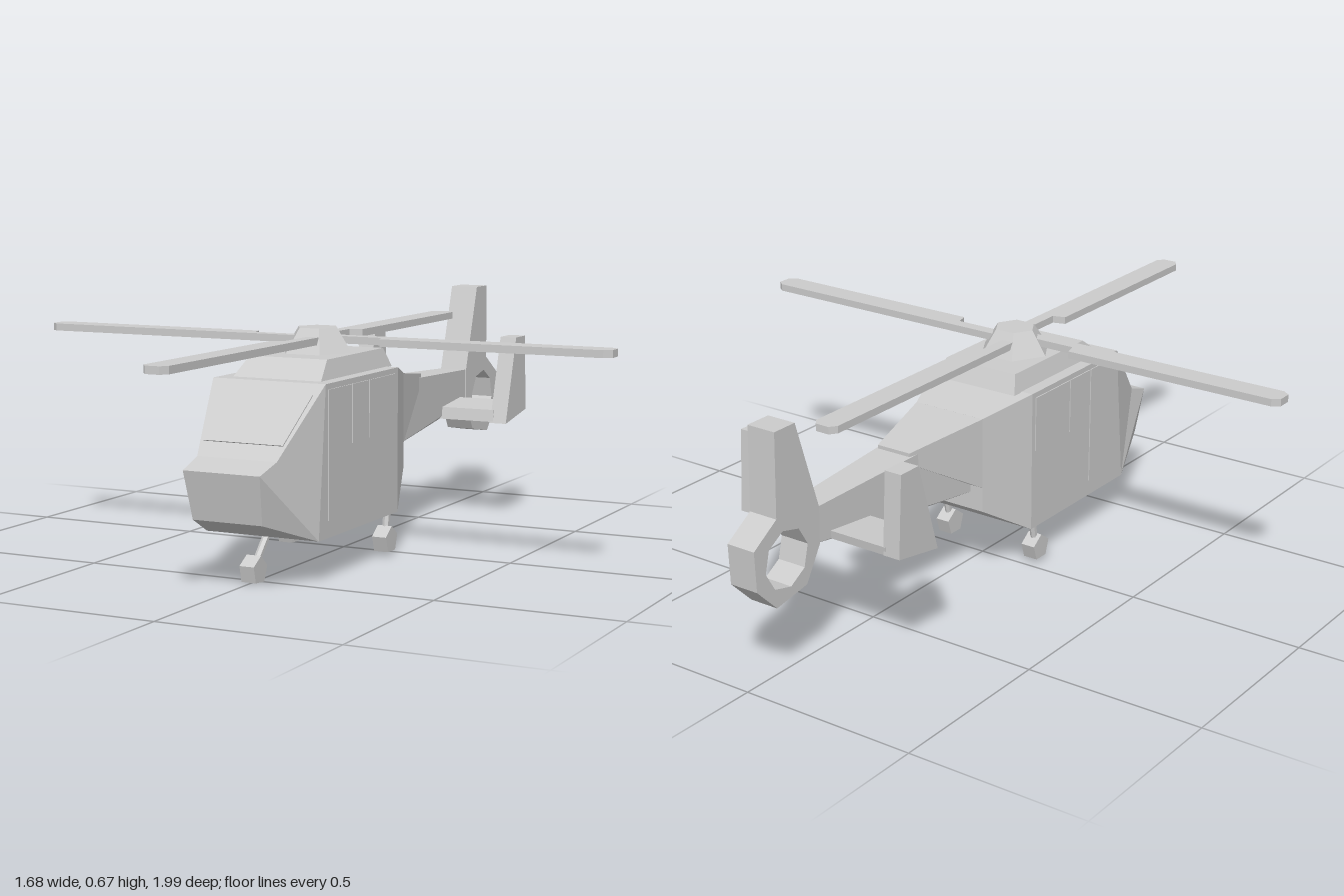
import * as THREE from 'three';
import { ConvexGeometry } from 'three/addons/geometries/ConvexGeometry.js';

export function createModel() {
  const model = new THREE.Group();
  const mat = new THREE.MeshStandardMaterial({ color: 0xcccccc, flatShading: true });

  function add(name, geometry, parent = model) {
    const mesh = new THREE.Mesh(geometry, mat);
    mesh.name = name;
    parent.add(mesh);
    return mesh;
  }

  // Convex body from points [halfWidth, y, z], mirrored in x
  function hull(name, points) {
    const all = [];
    for (const [x, y, z] of points) {
      all.push(new THREE.Vector3(x, y, z), new THREE.Vector3(-x, y, z));
    }
    return add(name, new ConvexGeometry(all));
  }

  // Side profile [z, y] given a thickness in x, centred on cx
  function sideShape(name, points, width, cx = 0, hole = null) {
    const toVec = (p) => new THREE.Vector2(p[0], p[1]);
    const shape = new THREE.Shape(points.map(toVec));
    if (hole) shape.holes.push(new THREE.Path(hole.map(toVec)));
    const g = new THREE.ExtrudeGeometry(shape, { depth: width, bevelEnabled: false });
    g.translate(0, 0, -width / 2).rotateY(-Math.PI / 2).translate(cx, 0, 0);
    return add(name, g);
  }

  // Round bar between two points
  function bar(name, a, b, radius) {
    const from = new THREE.Vector3(...a), to = new THREE.Vector3(...b);
    const dir = to.clone().sub(from);
    const mesh = add(name, new THREE.CylinderGeometry(radius, radius, dir.length(), 6));
    mesh.position.copy(from).add(to).multiplyScalar(0.5);
    mesh.quaternion.setFromUnitVectors(new THREE.Vector3(0, 1, 0), dir.normalize());
  }

  // Cabin and nose
  const screenBase = [0.115, 0.335, 0.6], bellyFront = [0.165, 0.115, 0.47];
  hull('cabin', [
    [0.165, 0.515, 0.43], [0.165, 0.515, 0], [0.165, 0.115, 0], bellyFront, screenBase,
    [0.11, 0.48, -0.155], [0.11, 0.21, -0.155],
  ]);
  hull('nose', [screenBase, bellyFront, [0.11, 0.31, 0.68], [0.1, 0.18, 0.65]]);

  // Windscreen panel lying on the sloped front
  const screen = [];
  for (const off of [-0.004, 0.003]) {
    screen.push([0.142, 0.487 + off * 0.69, 0.456 + off * 0.73]);
    screen.push([0.115, 0.37 + off * 0.69, 0.567 + off * 0.73]);
  }
  hull('windscreen', screen);

  // Doors and side windows
  for (const s of [-1, 1]) {
    const panel = (name, z0, z1, y0, y1) => {
      const g = new THREE.BoxGeometry(0.008, y1 - y0, z1 - z0);
      add(name, g).position.set(s * 0.164, (y0 + y1) / 2, (z0 + z1) / 2);
    };
    panel('door', 0.29, 0.418, 0.16, 0.5);
    panel('frontWindow', 0.185, 0.282, 0.345, 0.5);
    panel('rearWindow', 0.015, 0.181, 0.345, 0.5);
  }

  // Engine cover on the roof
  hull('engineCover', [
    [0.13, 0.513, 0.39], [0.13, 0.513, -0.035], [0.115, 0.565, 0.325], [0.115, 0.565, -0.01],
  ]);

  // Tail boom with the fairing that blends it into the cabin
  hull('boomFairing', [
    [0.11, 0.48, -0.154], [0.11, 0.28, -0.154], [0.052, 0.45, -0.4], [0.052, 0.42, -0.4],
  ]);
  hull('tailBoom', [
    [0.07, 0.45, -0.154], [0.07, 0.26, -0.154], [0.04, 0.42, -0.45],
    [0.038, 0.425, -0.77], [0.038, 0.33, -0.77], [0.038, 0.295, -0.56],
  ]);

  // Tail fin with the octagonal opening
  const opening = [];
  for (let i = 0; i < 8; i++) {
    const a = (i / 8) * Math.PI * 2 + 0.15;
    opening.push([-0.882 + 0.08 * Math.cos(a), 0.332 + 0.08 * Math.sin(a)]);
  }
  sideShape('tailFin', [
    [-0.755, 0.425], [-0.757, 0.325], [-0.81, 0.235], [-0.925, 0.215], [-0.995, 0.285],
    [-1, 0.395], [-0.915, 0.45], [-0.91, 0.675], [-0.835, 0.675],
  ], 0.084, 0, opening);

  // Stabiliser and its end plates
  sideShape('stabiliser', [[-0.556, 0.298], [-0.71, 0.322], [-0.713, 0.345], [-0.563, 0.333]], 0.43);
  for (const s of [-1, 1]) {
    sideShape('endPlate', [
      [-0.555, 0.295], [-0.712, 0.322], [-0.7, 0.545], [-0.63, 0.545],
    ], 0.05, s * 0.232);
  }

  // Main rotor: hexagonal hub and four blades with half-width roots
  const rotor = new THREE.Group();
  rotor.name = 'rotor';
  rotor.position.set(0, 0, 0.155);
  model.add(rotor);
  const hub = add('rotorHub', new THREE.CylinderGeometry(0.058, 0.104, 0.07, 6), rotor);
  hub.position.y = 0.597;
  hub.rotation.y = Math.PI / 6;
  const blade = new THREE.Shape([
    [0.03, 0], [0.19, 0], [0.2, -0.035], [0.82, -0.035], [0.84, -0.02],
    [0.84, 0.02], [0.82, 0.035], [0.03, 0.035],
  ].map((p) => new THREE.Vector2(...p)));
  const bladeGeo = new THREE.ExtrudeGeometry(blade, { depth: 0.02, bevelEnabled: false });
  bladeGeo.rotateX(-Math.PI / 2);
  for (let i = 0; i < 4; i++) {
    const mesh = add('rotorBlade', bladeGeo, rotor);
    mesh.position.y = 0.59;
    mesh.rotation.y = (i * Math.PI) / 2;
  }

  // Landing gear
  const wheel = (name, x, y, z, turn) => {
    const g = new THREE.CylinderGeometry(0.038, 0.038, 0.042, 5);
    g.rotateY(turn).rotateZ(Math.PI / 2);
    add(name, g).position.set(x, y, z);
  };
  bar('noseStrut', [0, 0.125, 0.435], [0, 0.04, 0.515], 0.01);
  wheel('noseWheel', 0, 0.035, 0.518, 0.4);
  for (const s of [-1, 1]) {
    bar('mainStrut', [s * 0.148, 0.125, 0.03], [s * 0.148, 0.045, 0.045], 0.01);
    wheel('mainWheel', s * 0.148, 0.045, 0.045, Math.PI / 2);
  }

  // Stand the model on the ground
  const box = new THREE.Box3().setFromObject(model);
  for (const child of model.children) child.position.y -= box.min.y;
  return model;
}
